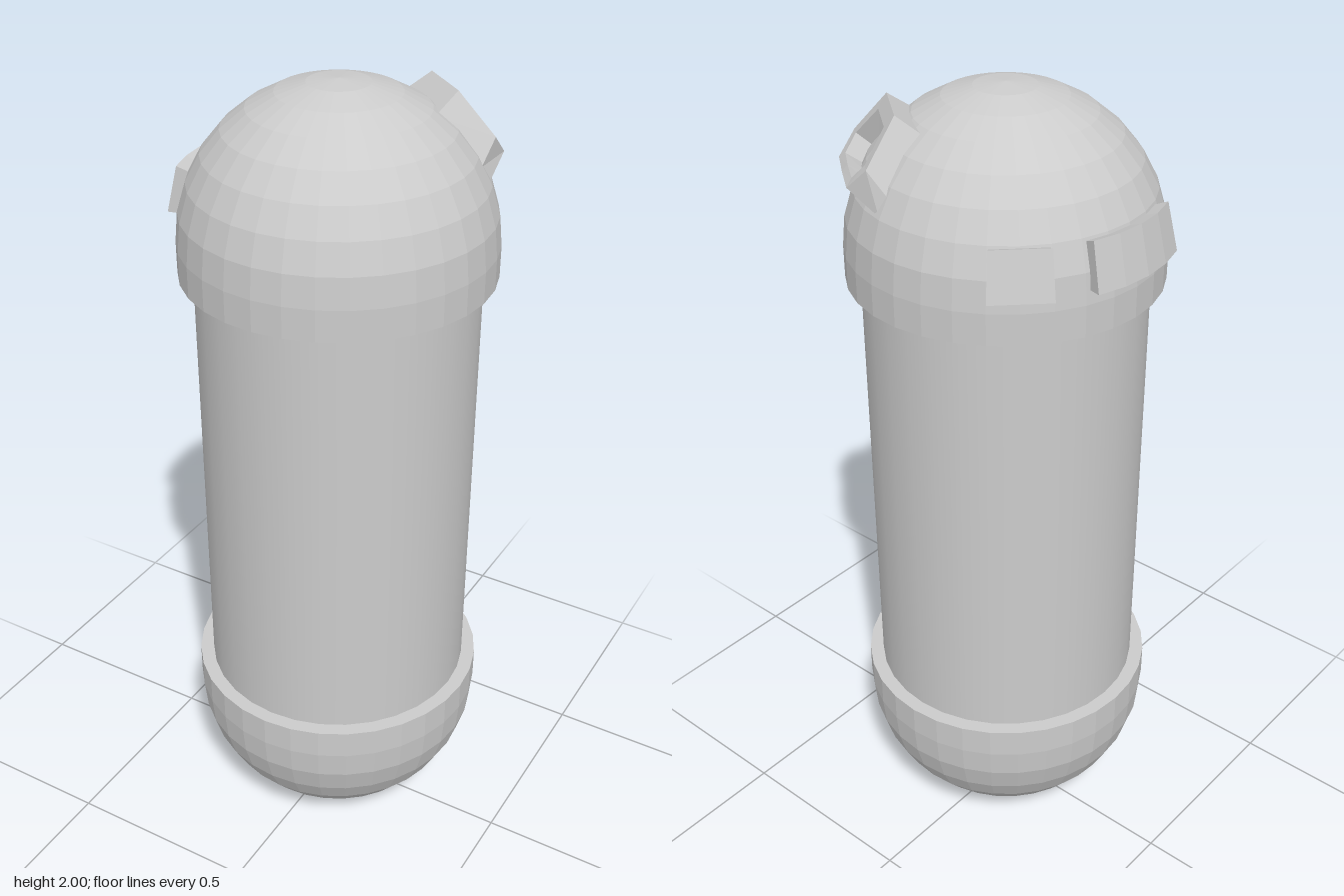
import * as THREE from 'three';

const R = 0.37;        // dome radius
const DOME_Y = 1.63;   // centre height of the upper dome
const rad = THREE.MathUtils.degToRad;
const flat = new THREE.MeshStandardMaterial({ color: 0xcccccc, flatShading: true });
const smooth = new THREE.MeshStandardMaterial({ color: 0xcccccc });

function add(parent, name, geometry, material) {
  const mesh = new THREE.Mesh(geometry, material);
  mesh.name = name;
  parent.add(mesh);
  return mesh;
}

// Domed cap with a short straight rim and a flat shoulder
function capGeometry() {
  const pts = [new THREE.Vector2(0.3, 1.555), new THREE.Vector2(R, 1.555)];
  for (let i = 0; i <= 8; i++) {
    const a = (i / 8) * Math.PI / 2;
    pts.push(new THREE.Vector2(i === 8 ? 0 : R * Math.cos(a), DOME_Y + R * Math.sin(a)));
  }
  return new THREE.LatheGeometry(pts, 32);
}

// Box bent onto the dome: x becomes azimuth, y latitude, z radius
function plateGeometry(azimuth, width, segments) {
  const g = new THREE.BoxGeometry(1, 1, 1, segments, 1, 1);
  const p = g.attributes.position;
  for (let i = 0; i < p.count; i++) {
    const az = rad(azimuth + p.getX(i) * width);
    const lat = rad(13.2 + p.getY(i) * 16.5);
    const r = 0.378 + p.getZ(i) * 0.044;
    p.setXYZ(i, r * Math.cos(lat) * Math.sin(az), r * Math.sin(lat), r * Math.cos(lat) * Math.cos(az));
  }
  g.computeVertexNormals();
  return g;
}

// Half outline [u, v, w] from upper corner to lower middle, mirrored to a counterclockwise ring
function mirroredRing(half) {
  const left = half.slice(0, -1).map(([u, v, w]) => [-u, v, w]);
  return [...left, ...half.slice().reverse()];
}

function loftGeometry(rings) {
  const verts = [];
  for (let r = 0; r < rings.length - 1; r++) {
    const a = rings[r], b = rings[r + 1];
    for (let i = 0; i < a.length; i++) {
      const j = (i + 1) % a.length;
      verts.push(...a[i], ...a[j], ...b[j], ...a[i], ...b[j], ...b[i]);
    }
  }
  const g = new THREE.BufferGeometry();
  g.setAttribute('position', new THREE.Float32BufferAttribute(verts, 3));
  g.computeVertexNormals();
  return g;
}

export function createModel() {
  const group = new THREE.Group();
  const body = new THREE.Group();
  body.name = 'canister';
  body.position.x = 0.012;
  group.add(body);

  // Smooth cylinder between two domed caps
  const tube = add(body, 'tube', new THREE.CylinderGeometry(0.335, 0.335, 1.15, 32), smooth);
  tube.position.y = 1;
  add(body, 'upperCap', capGeometry(), flat);
  const lower = add(body, 'lowerCap', capGeometry(), flat);
  lower.rotation.x = Math.PI;
  lower.position.y = 2;

  // Raised plates on the right of the dome
  const longPlate = add(body, 'longPlate', plateGeometry(-90, 41.6, 4), flat);
  const shortPlate = add(body, 'shortPlate', plateGeometry(-135.2, 20.8, 1), flat);
  longPlate.position.y = shortPlate.position.y = DOME_Y;

  // Raised socket with a sunken opening: base, outer rim, inner rim, floor
  const rings = [
    [[0.09, 0.09, 0.335], [0.147, -0.05, 0.33], [0.145, -0.095, 0.318], [0, -0.12, 0.345]],
    [[0.072, 0.082, 0.41], [0.125, -0.036, 0.398], [0.09, -0.1, 0.395], [0, -0.1, 0.397]],
    [[0.056, 0.046, 0.406], [0.097, -0.035, 0.398], [0.072, -0.08, 0.395], [0, -0.08, 0.397]],
    [[0.05, 0.038, 0.345], [0.088, -0.032, 0.335], [0.065, -0.07, 0.335], [0, -0.07, 0.345]],
  ].map(mirroredRing);
  const socket = add(body, 'socket', loftGeometry(rings), flat);
  socket.position.y = DOME_Y;
  socket.rotation.set(rad(-42), rad(140.6), 0, 'YXZ');

  return group;
}
